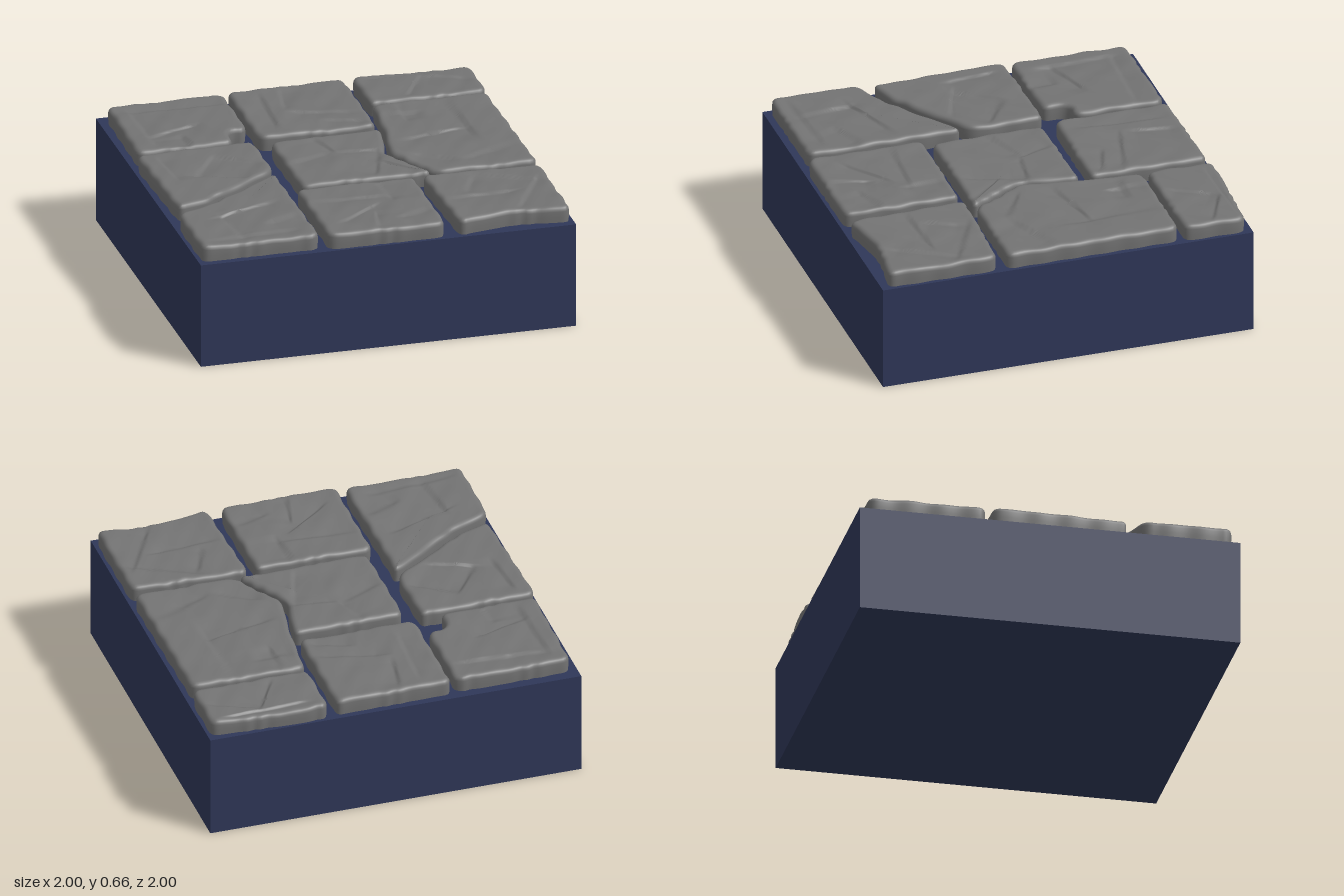
import * as THREE from 'three';

const BASE_TOP = 0.565, STONE_TOP = 0.653, BEVEL = 0.026, CORNER = 0.05;
const SEGMENTS = 150, RINGS = 26;

// closed outline with rounded corners, evenly resampled
function roundedOutline(corners) {
  const pts = corners.map(([x, z]) => new THREE.Vector2(x, z));
  const path = new THREE.Path();
  pts.forEach((p, i) => {
    const prev = pts[(i + pts.length - 1) % pts.length], next = pts[(i + 1) % pts.length];
    const toward = q => p.clone().lerp(q, Math.min(0.45, CORNER / p.distanceTo(q)));
    const a = toward(prev), b = toward(next);
    if (i === 0) path.moveTo(a.x, a.y); else path.lineTo(a.x, a.y);
    path.quadraticCurveTo(p.x, p.y, b.x, b.y);
  });
  path.closePath();
  return path.getSpacedPoints(SEGMENTS).slice(0, SEGMENTS);
}

// gentle unevenness of the worn surface
const ripple = (x, z) =>
  0.0016 * Math.sin(19 * x + 7 * z + 2 * Math.sin(9 * z)) +
  0.0014 * Math.sin(23 * z - 11 * x + 2 * Math.sin(13 * x)) +
  0.0007 * Math.sin(47 * x + 31 * z);

// chiselled ledges: a sharp step on one side of a line, fading away from it
function ledgeDrop(cracks, x, z) {
  let drop = 0;
  for (const [x1, z1, x2, z2] of cracks) {
    const dx = x2 - x1, dz = z2 - z1, len = Math.hypot(dx, dz);
    const t = ((x - x1) * dx + (z - z1) * dz) / (len * len);
    const s = ((z - z1) * dx - (x - x1) * dz) / len;
    if (t <= 0 || t >= 1 || s <= 0) continue;
    const ends = Math.min(1, 5 * t, 5 * (1 - t));
    drop += 0.013 * ends * Math.min(1, s / 0.014) * Math.exp(-s / 0.09);
  }
  return Math.min(drop, 0.02);
}

// one paving stone: corners run clockwise seen from above
function stoneGeometry(corners, cracks) {
  const outline = roundedOutline(corners);
  const cx = corners.reduce((s, c) => s + c[0], 0) / corners.length;
  const cz = corners.reduce((s, c) => s + c[1], 0) / corners.length;
  const normals = outline.map((p, i) => {
    const a = outline[(i + SEGMENTS - 1) % SEGMENTS], b = outline[(i + 1) % SEGMENTS];
    return new THREE.Vector2(b.y - a.y, a.x - b.x).normalize();
  });
  const positions = [], index = [];
  const ring = (inset, shrink, height) => outline.forEach((p, i) => {
    const chip = inset + 0.003 + 0.003 * Math.sin(41 * p.x + 37 * p.y + 3 * Math.sin(17 * p.x));
    const x = cx + (p.x - normals[i].x * chip - cx) * shrink;
    const z = cz + (p.y - normals[i].y * chip - cz) * shrink;
    const relief = height > 0.5 ? ripple(x, z) - ledgeDrop(cracks, x, z) : 0;
    positions.push(x, BASE_TOP + (STONE_TOP - BASE_TOP) * height + relief, z);
  });

  // upright side, rounded rim, then the worn top
  ring(0.002, 1, 0);
  ring(0, 1, 0.35);
  const bevelHeight = BEVEL / (STONE_TOP - BASE_TOP);
  for (let k = 0; k <= 4; k++) {
    const a = k * Math.PI / 8;
    ring(BEVEL * (1 - Math.cos(a)), 1, 1 - bevelHeight * (1 - Math.sin(a)));
  }
  for (let k = 1; k < RINGS; k++) ring(BEVEL, 1 - k / RINGS, 1);

  const ringCount = positions.length / 3 / SEGMENTS;
  const centre = ringCount * SEGMENTS;
  positions.push(cx, STONE_TOP + ripple(cx, cz) - ledgeDrop(cracks, cx, cz), cz);
  for (let r = 0; r < ringCount; r++) {
    for (let i = 0; i < SEGMENTS; i++) {
      const j = (i + 1) % SEGMENTS, a = r * SEGMENTS + i, b = r * SEGMENTS + j;
      if (r === ringCount - 1) index.push(a, centre, b);
      else index.push(a, a + SEGMENTS, b, b, a + SEGMENTS, b + SEGMENTS);
    }
  }
  const geometry = new THREE.BufferGeometry();
  geometry.setAttribute('position', new THREE.Float32BufferAttribute(positions, 3));
  geometry.setIndex(index);
  geometry.computeVertexNormals();
  return geometry;
}

export function createModel() {
  const group = new THREE.Group();
  group.name = 'stoneFloorTile';
  const stone = new THREE.MeshStandardMaterial({ color: 0x737373 });
  stone.name = 'grey stone';
  const earth = new THREE.MeshStandardMaterial({ color: 0x2f3758 });
  earth.name = 'dark blue base';

  // solid base block
  const base = new THREE.Mesh(new THREE.BoxGeometry(2, BASE_TOP, 2), earth);
  base.name = 'base';
  base.position.y = BASE_TOP / 2;
  group.add(base);

  const addStone = (name, corners, cracks) => {
    const mesh = new THREE.Mesh(stoneGeometry(corners, cracks), stone);
    mesh.name = name;
    group.add(mesh);
  };

  // back row
  addStone('notchedBackRightStone',
    [[-0.96, -0.95], [-0.335, -0.955], [-0.335, -0.475], [-0.445, -0.47], [-0.45, -0.33], [-0.97, -0.32]],
    [[-0.86, -0.35, -0.88, -0.9], [-0.34, -0.8, -0.95, -0.83], [-0.9, -0.5, -0.55, -0.62], [-0.68, -0.5, -0.66, -0.33]]);
  addStone('backMiddleStone',
    [[-0.315, -0.965], [0.315, -0.975], [0.315, -0.34], [-0.315, -0.35]],
    [[-0.1, -0.65, -0.05, -0.95], [-0.1, -0.64, 0.31, -0.54], [-0.15, -0.92, -0.18, -0.38], [0.05, -0.5, 0.3, -0.42]]);
  addStone('backLeftStone',
    [[0.355, -0.985], [0.5, -0.99], [0.985, -0.97], [0.985, -0.63], [0.355, -0.63]],
    [[0.55, -0.66, 0.7, -0.93], [0.7, -0.92, 0.97, -0.8], [0.95, -0.93, 0.4, -0.91]]);

  // middle row
  addStone('middleRightStone',
    [[-0.985, -0.3], [-0.355, -0.31], [-0.35, 0.08], [-0.56, 0.22], [-0.8, 0.38], [-0.96, 0.43]],
    [[-0.78, 0.06, -0.6, -0.2], [-0.6, -0.18, -0.37, -0.03], [-0.5, 0.16, -0.82, 0.04], [-0.87, 0.1, -0.9, -0.25]]);
  addStone('centreStone',
    [[-0.28, -0.28], [0.325, -0.285], [0.26, 0.03], [0.43, 0.325], [-0.275, 0.325]],
    [[-0.27, 0.03, 0, -0.09], [-0.05, -0.27, 0.02, -0.06], [0, -0.07, 0.28, -0.03], [0.24, 0, 0.14, 0.31], [0.2, 0.1, 0.39, 0.31]]);
  addStone('middleLeftStone',
    [[0.36, -0.61], [0.975, -0.61], [0.985, 0.325], [0.44, 0.325], [0.275, 0.02], [0.32, -0.2]],
    [[0.47, -0.35, 0.47, -0.6], [0.34, -0.12, 0.78, -0.22], [0.37, 0.05, 0.62, 0.2], [0.6, 0.2, 0.97, 0.03],
      [0.75, -0.57, 0.78, 0], [0.36, -0.48, 0.6, -0.47]]);

  // front row
  addStone('frontRightStone',
    [[-0.985, 0.5], [-0.79, 0.42], [-0.56, 0.26], [-0.36, 0.12], [-0.35, 0.965], [-0.985, 0.965]],
    [[-0.87, 0.62, -0.42, 0.45], [-0.95, 0.88, -0.4, 0.84], [-0.75, 0.92, -0.8, 0.55], [-0.6, 0.75, -0.38, 0.65]]);
  addStone('frontMiddleStone',
    [[-0.315, 0.36], [0.315, 0.36], [0.315, 0.985], [-0.315, 0.985]],
    [[0.12, 0.64, 0.1, 0.37], [-0.3, 0.53, 0.15, 0.56], [-0.24, 0.85, 0.06, 0.62], [0.08, 0.84, 0.3, 0.76], [-0.05, 0.97, 0, 0.72]]);
  addStone('frontLeftStone',
    [[0.355, 0.35], [0.985, 0.37], [0.985, 0.965], [0.7, 0.93], [0.38, 0.985]],
    [[0.55, 0.37, 0.97, 0.58], [0.7, 0.92, 0.93, 0.5], [0.38, 0.68, 0.82, 0.65], [0.5, 0.64, 0.6, 0.42]]);

  return group;
}
